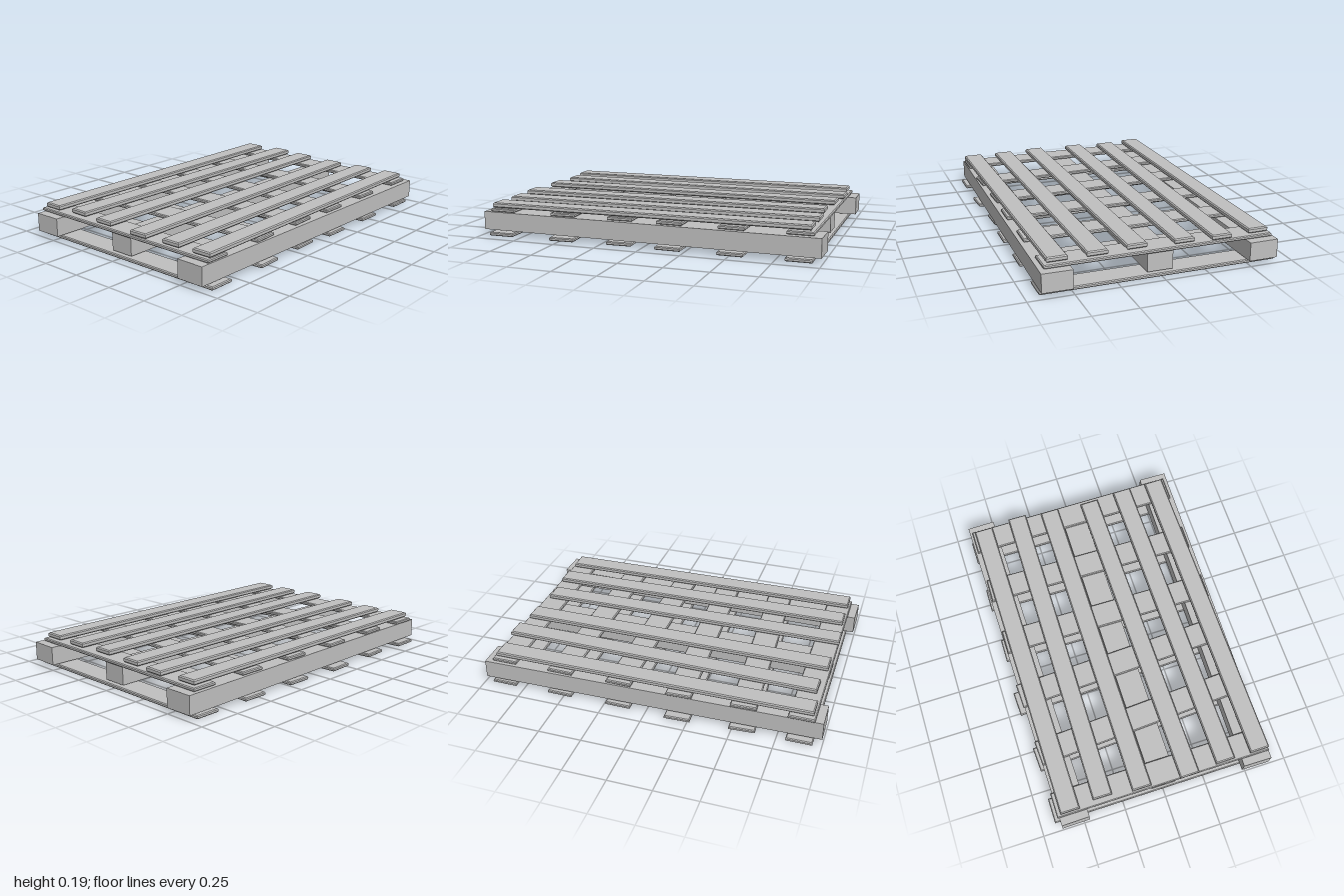
import * as THREE from 'three';

const wood = new THREE.MeshStandardMaterial({ color: 0xc0c0c0 });
wood.name = 'plain grey wood';

// Board lying flat with chamfered top and bottom edges, resting on y = 0
function boardGeometry(sizeX, height, sizeZ, bevel) {
  const x = sizeX / 2 - bevel, z = sizeZ / 2 - bevel;
  const outline = new THREE.Shape([
    new THREE.Vector2(-x, -z), new THREE.Vector2(x, -z),
    new THREE.Vector2(x, z), new THREE.Vector2(-x, z),
  ]);
  const geometry = new THREE.ExtrudeGeometry(outline, {
    depth: height - 2 * bevel, bevelEnabled: true,
    bevelThickness: bevel, bevelSize: bevel, bevelSegments: 1,
  });
  return geometry.translate(0, 0, bevel).rotateX(-Math.PI / 2);
}

export function createModel() {
  const pallet = new THREE.Group();
  pallet.name = 'pallet';

  function place(parent, name, geometry, x, y, z, turn) {
    const mesh = new THREE.Mesh(geometry, wood);
    mesh.name = name;
    mesh.position.set(x, y, z);
    mesh.rotation.y = turn;
    parent.add(mesh);
  }
  function layer(name) {
    const group = new THREE.Group();
    group.name = name;
    pallet.add(group);
    return group;
  }

  // Cross boards run front to back, below and above the beams: [x, z shift, turn]
  const crossBoards = [
    [-0.876, 0.004, 0], [-0.523, 0.006, 0.053], [-0.166, -0.012, 0.037],
    [0.16, 0.004, -0.012], [0.515, 0.004, -0.016], [0.876, 0.004, 0],
  ];
  const bottomGeometry = boardGeometry(0.148, 0.02, 1.34, 0.005);
  const middleGeometry = boardGeometry(0.148, 0.02, 1.29, 0.005);
  const bottom = layer('bottomBoards'), middle = layer('middleBoards');
  crossBoards.forEach(([x, z, turn], i) => {
    place(bottom, `bottomBoard${i + 1}`, bottomGeometry, x, 0, z, turn);
    place(middle, `middleBoard${i + 1}`, middleGeometry, x, 0.138, z * 0.5, turn);
  });

  // Three heavy beams run left to right: [name, z, length, width, turn]
  const beams = layer('beams');
  for (const [name, z, length, width, turn] of [
    ['backBeam', -0.562, 1.99, 0.166, 0.0135],
    ['middleBeam', 0.007, 1.87, 0.146, 0],
    ['frontBeam', 0.576, 1.99, 0.168, -0.0125],
  ]) place(beams, name, new THREE.BoxGeometry(length, 0.106, width), 0, 0.083, z, turn);

  // Six loosely laid deck boards: [x, z, turn]
  const deck = layer('deckBoards');
  const deckGeometry = boardGeometry(1.87, 0.028, 0.115, 0.006);
  [
    [-0.003, -0.565, 0.003], [0.018, -0.352, -0.0115], [-0.003, -0.132, 0],
    [-0.019, 0.142, 0.013], [-0.003, 0.366, 0.013], [-0.003, 0.58, 0.011],
  ].forEach(([x, z, turn], i) => place(deck, `deckBoard${i + 1}`, deckGeometry, x, 0.163, z, turn));

  return pallet;
}
